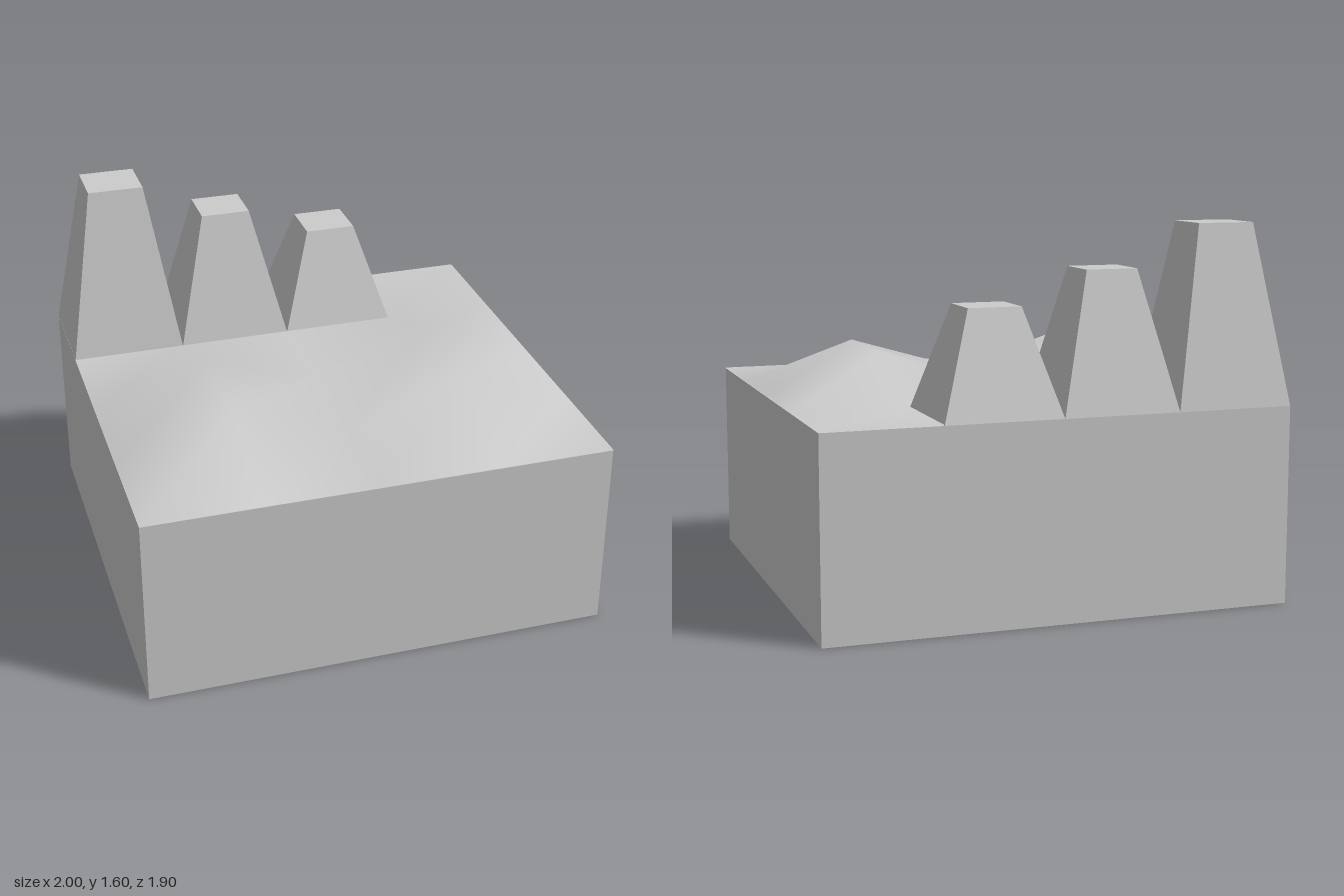
import * as THREE from 'three';

const WIDTH = 2, DEPTH = 1.9, BASE_HEIGHT = 0.84, HILL_HEIGHT = 0.17;

const material = new THREE.MeshStandardMaterial({ color: 0xcccccc });

function addMesh(group, name, geometry) {
  const mesh = new THREE.Mesh(geometry, material);
  mesh.name = name;
  group.add(mesh);
  return mesh;
}

// Four by four grid, raised at the two hill columns, smoothly shaded
function terrainGeometry() {
  const geo = new THREE.PlaneGeometry(WIDTH, DEPTH, 4, 4).rotateX(-Math.PI / 2);
  const pos = geo.attributes.position;
  for (let i = 0; i < pos.count; i++) {
    const onHillColumn = Math.abs(Math.abs(pos.getX(i)) - 0.5) < 0.01;
    const z = pos.getZ(i);
    if (onHillColumn && z > -0.01 && z < 0.5) pos.setY(i, HILL_HEIGHT);
  }
  geo.computeVertexNormals();
  return geo;
}

// Box standing on y = 0 whose top is narrowed to the given size
function taperedTower(width, depth, height, topWidth, topDepth) {
  const geo = new THREE.BoxGeometry(width, height, depth).translate(0, height / 2, 0);
  const pos = geo.attributes.position;
  for (let i = 0; i < pos.count; i++) {
    if (pos.getY(i) < height / 2) continue;
    pos.setX(i, Math.sign(pos.getX(i)) * topWidth / 2);
    pos.setZ(i, Math.sign(pos.getZ(i)) * topDepth / 2);
  }
  geo.computeVertexNormals();
  return geo;
}

export function createModel() {
  const model = new THREE.Group();
  model.name = 'terrainBlock';

  // Solid ground block
  const base = addMesh(model, 'base', new THREE.BoxGeometry(WIDTH, BASE_HEIGHT, DEPTH));
  base.position.y = BASE_HEIGHT / 2;

  // Rolling surface, just clear of the block's top
  const terrain = addMesh(model, 'terrain', terrainGeometry());
  terrain.position.y = BASE_HEIGHT + 0.003;

  // Row of towers along the back edge, falling in height
  const towers = new THREE.Group();
  towers.name = 'towers';
  towers.position.set(0, BASE_HEIGHT, -DEPTH * 3 / 8);
  model.add(towers);
  [
    { x: -0.75, height: 0.755, topWidth: 0.245, topDepth: 0.23 },
    { x: -0.25, height: 0.577, topWidth: 0.22, topDepth: 0.21 },
    { x: 0.25, height: 0.439, topWidth: 0.225, topDepth: 0.215 },
  ].forEach(({ x, height, topWidth, topDepth }, i) => {
    const geo = taperedTower(WIDTH / 4, DEPTH / 4, height, topWidth, topDepth);
    addMesh(towers, `tower${i + 1}`, geo).position.x = x;
  });

  return model;
}
